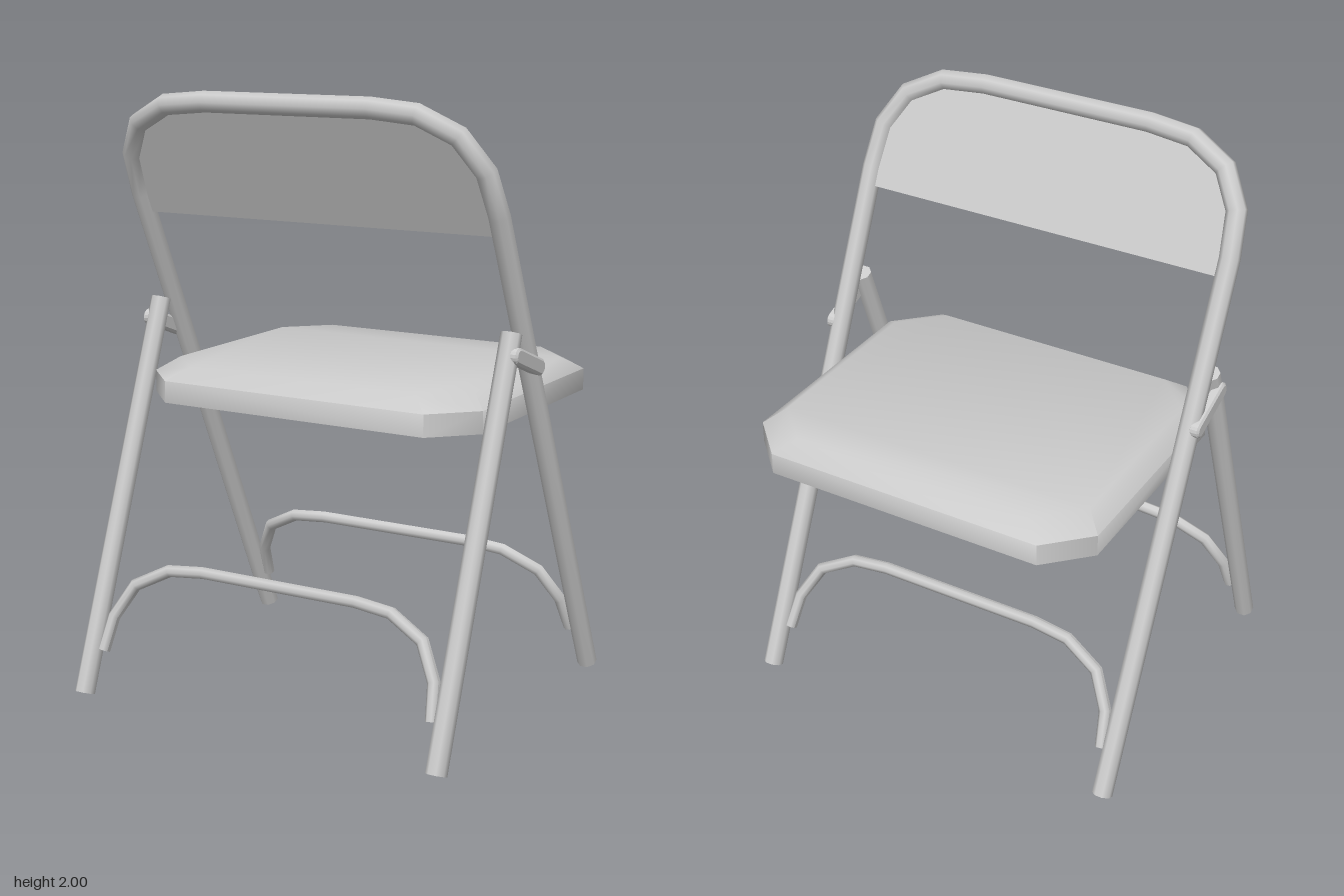
import * as THREE from 'three';
import { toCreasedNormals } from 'three/addons/utils/BufferGeometryUtils.js';
import { ConvexGeometry } from 'three/addons/geometries/ConvexGeometry.js';

const grey = new THREE.MeshStandardMaterial({ color: 0xcccccc });

function add(parent, name, geometry) {
  const mesh = new THREE.Mesh(geometry, grey);
  mesh.name = name;
  parent.add(mesh);
  return mesh;
}

// Mitred eight-sided tube along a flat [x, y] path, with capped ends
function pipe(path, radius) {
  const sides = 8;
  const pts = path.map(([x, y]) => new THREE.Vector2(x, y));
  const pos = [], index = [];
  pts.forEach((p, i) => {
    const a = p.clone().sub(pts[Math.max(i - 1, 0)]).normalize();
    const b = pts[Math.min(i + 1, pts.length - 1)].clone().sub(p).normalize();
    const t = a.clone().add(b).normalize();
    const miter = radius / t.dot(i ? a : b);
    for (let s = 0; s < sides; s++) {
      const w = ((s + 0.5) / sides) * Math.PI * 2;
      const off = Math.cos(w) * miter;
      pos.push(p.x + t.y * off, p.y - t.x * off, -Math.sin(w) * radius);
    }
  });
  const last = (pts.length - 1) * sides;
  for (let s = 0; s < sides; s++) {
    const n = (s + 1) % sides;
    for (let r = 0; r < last; r += sides) {
      index.push(r + s, r + n, r + sides + n, r + s, r + sides + n, r + sides + s);
    }
    if (s > 0 && s < sides - 1) index.push(0, n, s, last, last + s, last + n);
  }
  const g = new THREE.BufferGeometry();
  g.setAttribute('position', new THREE.Float32BufferAttribute(pos, 3));
  g.setIndex(index);
  return toCreasedNormals(g, 1);
}

// Completes a right-hand path with its mirror image
const mirrored = (half) => [...half, ...half.map(([x, y]) => [-x, y]).reverse()];

// Leaning plane: z = z0 + slope * height; paths in it are given by world height
function leaningPlane(name, z0, slope) {
  const group = new THREE.Group();
  group.name = name;
  group.position.z = z0;
  group.rotation.x = Math.atan(slope);
  const stretch = Math.hypot(1, slope);
  return { group, lay: (path) => path.map(([x, y]) => [x, y * stretch]) };
}

const braceHalf = [[0.62, 0.152], [0.605, 0.262], [0.543, 0.37], [0.42, 0.432], [0.29, 0.445]];
const archHalf = [[0.662, 1.65], [0.648, 1.785], [0.58, 1.893], [0.455, 1.955], [0.3, 1.969]];

export function createModel() {
  const model = new THREE.Group();
  model.name = 'foldingChair';

  // Long frame: two legs rising into the arched backrest
  const back = leaningPlane('backFrame', -0.516, 0.46);
  model.add(back.group);
  add(back.group, 'frameTube', pipe(back.lay(mirrored([[0.662, 0.013], ...archHalf])), 0.034));
  add(back.group, 'frameBrace', pipe(back.lay(mirrored(braceHalf)), 0.0205));

  // Backrest panel filling the arch, a little thinner than the tube
  const panel = back.lay(mirrored([[0.65, 1.592], ...archHalf.slice(1)]));
  const panelShape = new THREE.Shape(panel.map(([x, y]) => new THREE.Vector2(x, y)));
  const panelGeometry = new THREE.ExtrudeGeometry(panelShape, { depth: 0.024, bevelEnabled: false });
  add(back.group, 'backrestPanel', panelGeometry).position.z = -0.012;

  // Short legs, very slightly splayed, with their own brace
  const front = leaningPlane('shortLegs', 0.622, -0.37);
  model.add(front.group);
  for (const side of [1, -1]) {
    add(front.group, 'shortLeg', pipe(front.lay([[0.665 * side, 0.011], [0.662 * side, 1.283]]), 0.034));
  }
  add(front.group, 'legBrace', pipe(front.lay(mirrored(braceHalf)), 0.0205));

  // Seat: clipped rectangle with a bevelled top edge
  const seatPoints = [];
  for (const [y, inset] of [[0.979, 0], [1.052, 0], [1.095, 0.06]]) {
    const w = 0.618 - inset, d = 0.515 - inset, cut = 0.135;
    for (const sx of [1, -1]) for (const sz of [1, -1]) {
      seatPoints.push(new THREE.Vector3(sx * w, y, sz * (d - cut)));
      seatPoints.push(new THREE.Vector3(sx * (w - cut), y, sz * d));
    }
  }
  const seat = add(model, 'seat', toCreasedNormals(new ConvexGeometry(seatPoints), 1));
  seat.position.z = -0.135;

  // Hinge links joining the short legs to the frame, with tapered ends
  const length = Math.hypot(0.16, 0.06), r = 0.027;
  const link = new THREE.Shape();
  link.absarc(length / 2, 0, r, -Math.PI / 2, Math.PI / 2);
  link.absarc(-length / 2, 0, r, Math.PI / 2, Math.PI * 1.5);
  const linkGeometry = new THREE.ExtrudeGeometry(link, {
    depth: 0.024, curveSegments: 4, bevelSegments: 1,
    bevelThickness: 0.006, bevelSize: 0.008, bevelOffset: -0.008,
  });
  linkGeometry.translate(0, 0, -0.012);
  linkGeometry.rotateZ(-Math.atan2(0.06, 0.16));
  linkGeometry.rotateY(Math.PI / 2);
  for (const side of [1, -1]) {
    add(model, 'hingeLink', linkGeometry).position.set(0.688 * side, 1.187, 0.09);
  }
  return model;
}
